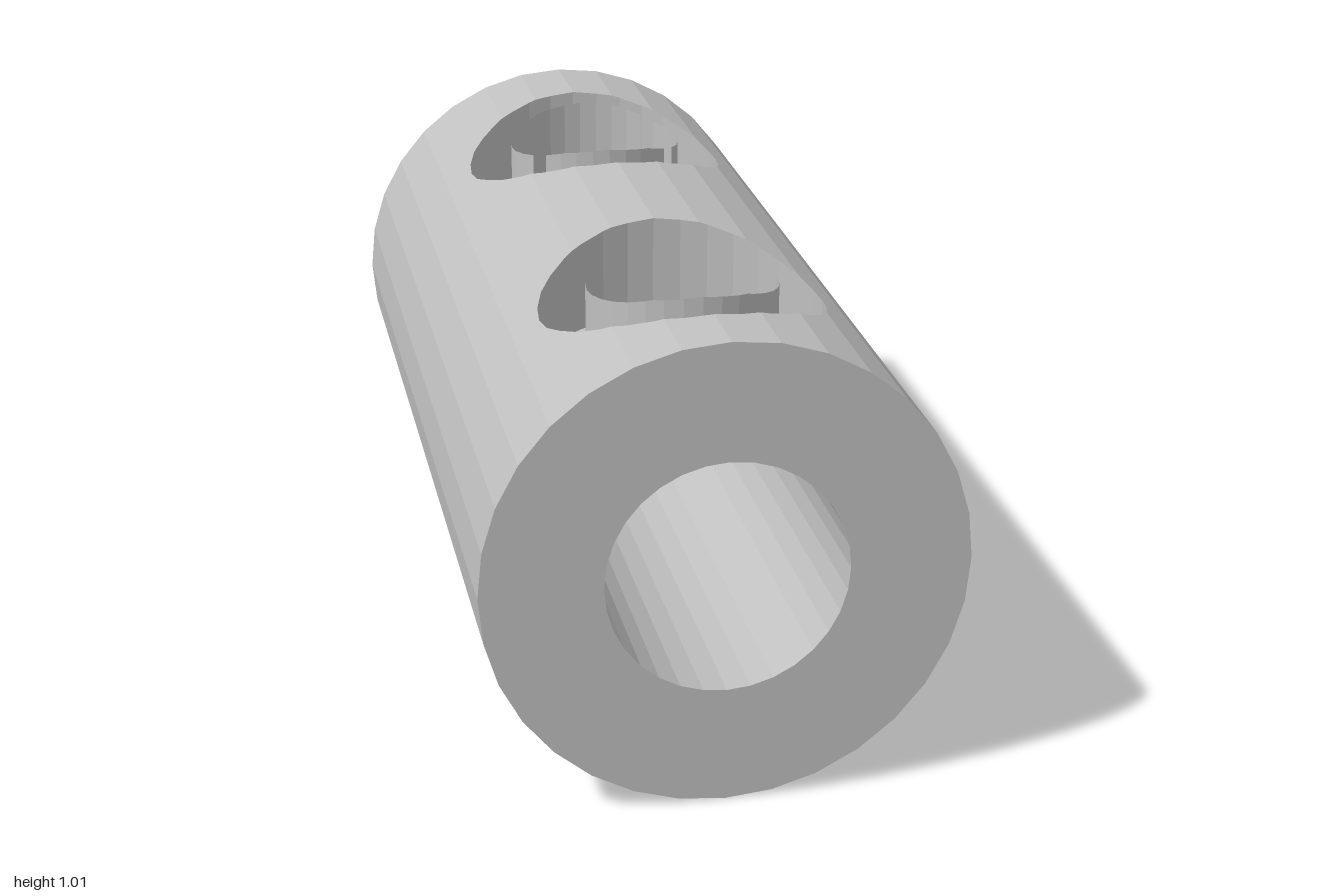
import * as THREE from 'three';

const SIDES = 32, STEP = (2 * Math.PI) / SIDES;
const OUTER = 0.505, BORE = 0.2525, AXIS_Y = 0.505, HALF = 1;
const POCKET = 0.303, HOLE = 0.2025, FLOOR_Y = 0.783;
const CENTRES = [-0.478, 0.543];

// Height above the centre line of a 32-sided circle at offset x
function facetHeight(r, x) {
  if (Math.abs(x) >= r - 1e-6) return 0;
  const k = Math.floor(Math.asin(x / r) / STEP + 1e-7);
  const x0 = r * Math.sin(k * STEP), x1 = r * Math.sin((k + 1) * STEP);
  const y0 = r * Math.cos(k * STEP), y1 = r * Math.cos((k + 1) * STEP);
  return y0 + ((y1 - y0) * (x - x0)) / (x1 - x0);
}

// Sorted x positions of the corners of several circles, up to a limit
function columns(radii, limit) {
  const xs = [];
  for (const r of radii) {
    for (let k = -SIDES / 4; k <= SIDES / 4; k++) {
      const x = r * Math.sin(k * STEP);
      if (Math.abs(x) <= limit + 1e-6) xs.push(x);
    }
  }
  xs.sort((a, b) => a - b);
  return xs.filter((x, i) => i === 0 || x - xs[i - 1] > 1e-5);
}

function quad(out, a, b, c, d, flip) {
  const order = flip ? [a, c, b, a, d, c] : [a, b, c, a, c, d];
  for (const p of order) out.push(...p);
}

function toGeometry(positions) {
  const geometry = new THREE.BufferGeometry();
  geometry.setAttribute('position', new THREE.Float32BufferAttribute(positions, 3));
  geometry.computeVertexNormals();
  return geometry;
}

// Faceted tube along z, its upper half cut by round vertical holes
function cutTube(radius, cut, inward) {
  const out = [];
  const xs = columns([radius, cut], radius);
  for (let i = 0; i < xs.length - 1; i++) {
    const a = xs[i], b = xs[i + 1];
    const ha = facetHeight(cut, a), hb = facetHeight(cut, b);
    const ya = facetHeight(radius, a), yb = facetHeight(radius, b);
    const [back, front] = CENTRES;
    const spans = [
      [-HALF, -HALF, back - ha, back - hb],
      [back + ha, back + hb, front - ha, front - hb],
      [front + ha, front + hb, HALF, HALF],
    ];
    for (const [za0, zb0, za1, zb1] of spans) {
      quad(out, [a, AXIS_Y + ya, za1], [b, AXIS_Y + yb, zb1],
        [b, AXIS_Y + yb, zb0], [a, AXIS_Y + ya, za0], inward);
    }
    // Uncut lower half
    quad(out, [a, AXIS_Y - ya, HALF], [b, AXIS_Y - yb, HALF],
      [b, AXIS_Y - yb, -HALF], [a, AXIS_Y - ya, -HALF], !inward);
  }
  return toGeometry(out);
}

// Vertical round wall between two height rules; keep() picks segments by angle from +z
function roundWall(radius, tubeRadius, low, high, inward, keep = () => true) {
  const xs = columns([radius, tubeRadius], radius);
  const loop = xs.map((x) => [x, facetHeight(radius, x)]);
  for (let i = xs.length - 2; i >= 0; i--) loop.push([xs[i], -facetHeight(radius, xs[i])]);
  const out = [];
  for (let i = 0; i < loop.length - 1; i++) {
    const [ax, az] = loop[i], [bx, bz] = loop[i + 1];
    const angle = Math.atan2(Math.abs(ax + bx), az + bz) / STEP;
    if (!keep(angle)) continue;
    quad(out, [ax, low(ax), az], [bx, low(bx), bz], [bx, high(bx), bz], [ax, high(ax), az], inward);
  }
  return toGeometry(out);
}

export function createModel() {
  const model = new THREE.Group();
  model.name = 'drilledTube';
  const grey = new THREE.MeshStandardMaterial({ color: 0xc0c0c0, side: THREE.DoubleSide, flatShading: true });
  grey.name = 'grey';

  const add = (name, geometry, x = 0, y = 0, z = 0) => {
    const mesh = new THREE.Mesh(geometry, grey);
    mesh.name = name;
    mesh.position.set(x, y, z);
    model.add(mesh);
    return mesh;
  };

  const outerTop = (x) => AXIS_Y + facetHeight(OUTER, x);
  const boreTop = (x) => AXIS_Y + facetHeight(BORE, x);
  const floor = () => FLOOR_Y;

  // Tube body
  add('outerShell', cutTube(OUTER, POCKET, false));
  add('bore', cutTube(BORE, HOLE, true));
  add('frontCap', new THREE.RingGeometry(BORE, OUTER, SIDES), 0, AXIS_Y, HALF);
  add('backCap', new THREE.RingGeometry(BORE, OUTER, SIDES), 0, AXIS_Y, -HALF).rotation.y = Math.PI;

  // Back collar has four narrow slots, front collar is only its front half
  const collars = [
    (angle) => !((angle > 4 && angle < 5) || (angle > 11 && angle < 12)),
    (angle) => angle < 9,
  ];

  // Counterbored pockets with thin standing collars
  CENTRES.forEach((z, i) => {
    const side = i ? 'front' : 'back';
    add(side + 'PocketWall', roundWall(POCKET, OUTER, floor, outerTop, true), 0, 0, z);
    add(side + 'PocketFloor', new THREE.RingGeometry(HOLE, POCKET, SIDES), 0, FLOOR_Y, z).rotation.x = -Math.PI / 2;
    add(side + 'HoleWall', roundWall(HOLE, BORE, boreTop, floor, true), 0, 0, z);
    add(side + 'Collar', roundWall(HOLE, OUTER, floor, outerTop, false, collars[i]), 0, 0, z);
  });

  return model;
}
